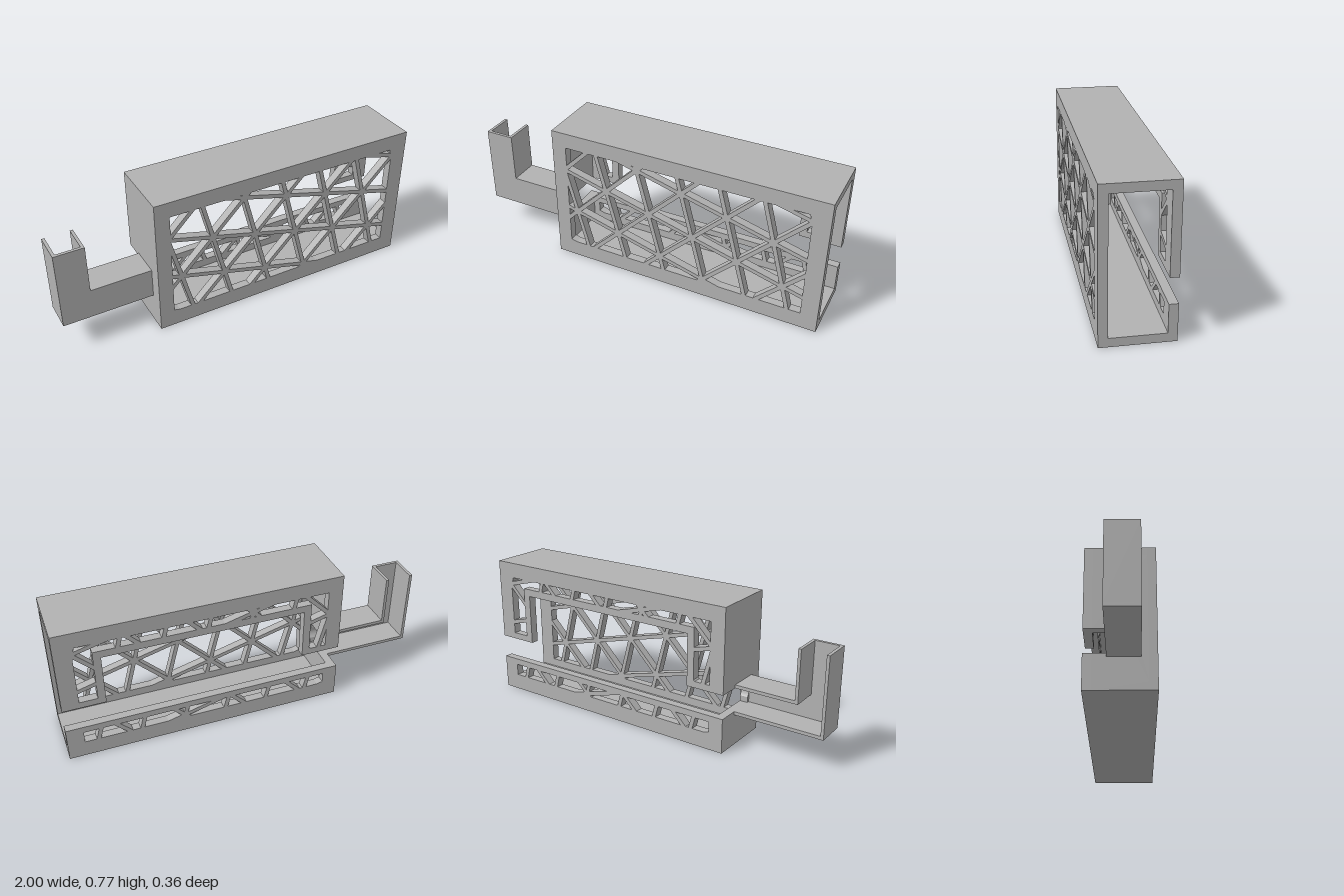
import * as THREE from 'three';

const X0 = -0.51, X1 = 1, H = 0.775, Z = 0.18, T = 0.045;
const WIN = [-0.43, 0.09, 0.91, 0.69]; // window: x0, y0, x1, y1

export function createModel() {
  const root = new THREE.Group();
  const grey = new THREE.MeshStandardMaterial({ color: 0xb2b2b2 });
  grey.name = 'light grey';

  const add = (name, geo, parent = root) => {
    const mesh = new THREE.Mesh(geo, grey);
    mesh.name = name;
    parent.add(mesh);
    return mesh;
  };
  const group = (name) => {
    const g = new THREE.Group();
    g.name = name;
    root.add(g);
    return g;
  };
  const box = (name, x0, x1, y0, y1, z0, z1, parent) =>
    add(name, new THREE.BoxGeometry(x1 - x0, y1 - y0, z1 - z0), parent)
      .position.set((x0 + x1) / 2, (y0 + y1) / 2, (z0 + z1) / 2);
  const toPoints = (list) => list.map(([x, y]) => new THREE.Vector2(x, y));
  const rect = (x0, y0, x1, y1) => [[x0, y0], [x1, y0], [x1, y1], [x0, y1]];
  const plate = (name, outline, holes, z, parent) => {
    const shape = new THREE.Shape(toPoints(outline));
    for (const h of holes) shape.holes.push(new THREE.Path(toPoints(h)));
    const geo = new THREE.ExtrudeGeometry(shape, { depth: T, bevelEnabled: false });
    add(name, geo, parent).position.z = z;
  };

  // Trim a polygon to one side of an axis-aligned line
  const trim = (poly, axis, limit, sign) => {
    const out = [];
    poly.forEach((p, i) => {
      const q = poly[(i + 1) % poly.length];
      const dp = (p[axis] - limit) * sign, dq = (q[axis] - limit) * sign;
      if (dp >= 0) out.push(p);
      if (dp * dq < 0) {
        const t = dp / (dp - dq);
        out.push([p[0] + (q[0] - p[0]) * t, p[1] + (q[1] - p[1]) * t]);
      }
    });
    return out;
  };

  // Triangular lattice: three families of parallel struts filling a rectangle
  const lattice = (name, [x0, y0, x1, y1], z) => {
    const g = group(name);
    const pitch = 0.2235, half = 0.011, node = [-0.195, 0.487];
    for (const deg of [-15, 45, 105]) {
      const a = THREE.MathUtils.degToRad(deg), c = Math.cos(a), s = Math.sin(a);
      for (let i = -8; i <= 8; i++) {
        const corner = (u, v) => [node[0] + u * c - v * s, node[1] + u * s + v * c];
        const lo = i * pitch - half, hi = i * pitch + half;
        let poly = [corner(-3, lo), corner(3, lo), corner(3, hi), corner(-3, hi)];
        poly = trim(poly, 0, x0, 1);
        poly = trim(poly, 0, x1, -1);
        poly = trim(poly, 1, y0, 1);
        poly = trim(poly, 1, y1, -1);
        if (poly.length > 2) plate('strut', poly, [], z, g);
      }
    }
  };

  // Front wall with one large latticed window
  plate('frontWall', rect(X0, 0, X1, H), [rect(...WIN)], Z - T);
  lattice('frontLattice', WIN, Z - T);

  // Back wall: an arch above the slot and a strip below it
  plate('backArch',
    [[X0, 0.32], [-0.295, 0.32], [-0.295, 0.6], [0.775, 0.6], [0.775, 0.32], [X1, 0.32], [X1, H], [X0, H]],
    [[[-0.43, 0.355], [-0.335, 0.355], [-0.335, 0.64], [0.815, 0.64], [0.815, 0.355], [0.91, 0.355],
      [0.91, 0.69], [-0.43, 0.69]]], -Z);
  plate('backStrip', rect(X0, 0, X1, 0.19), [rect(-0.43, 0.09, 0.91, 0.155)], -Z);
  lattice('backLatticeRight', [-0.43, 0.355, -0.335, 0.69], -Z);
  lattice('backLatticeTop', [-0.335, 0.64, 0.815, 0.69], -Z);
  lattice('backLatticeLeft', [0.815, 0.355, 0.91, 0.69], -Z);
  lattice('backLatticeBottom', [-0.43, 0.09, 0.91, 0.155], -Z);

  // Top and bottom panels; the left end stays open
  box('topPanel', X0, X1, H - T, H, T - Z, Z - T);
  box('bottomPanel', X0, X1, 0, T, T - Z, Z - T);

  // End wall with a notch that has a rounded bottom
  const end = new THREE.Shape();
  end.moveTo(T - Z, T);
  end.lineTo(Z - T, T);
  end.lineTo(Z - T, H - T);
  end.lineTo(T - Z, H - T);
  end.lineTo(T - Z, 0.32);
  end.lineTo(0.07, 0.32);
  end.lineTo(0.07, 0.29);
  end.quadraticCurveTo(0.094, 0.255, 0.07, 0.22);
  end.lineTo(0.07, 0.19);
  end.lineTo(T - Z, 0.19);
  const endGeo = new THREE.ExtrudeGeometry(end, { depth: T, bevelEnabled: false });
  endGeo.rotateY(-Math.PI / 2);
  add('endWall', endGeo).position.x = X0 + T;

  // Side arm: a channel open at the back that turns up into a post open at the top
  const arm = group('sideArm');
  const zb = -0.065, zf = 0.1, w = 0.016;
  box('armFloor', -1, X0, 0.172, 0.19, zb, zf, arm);
  box('armRoof', -0.84, X0, 0.32, 0.338, zb, zf, arm);
  box('armFront', -1 + w, X0, 0.19, 0.32, zf - w, zf, arm);
  box('postFront', -1 + w, -0.84 - w, 0.32, 0.605, zf - w, zf, arm);
  box('postOuterWall', -1, -1 + w, 0.19, 0.605, zb, zf, arm);
  box('postInnerWall', -0.84 - w, -0.84, 0.32, 0.605, zb, zf, arm);

  return root;
}
